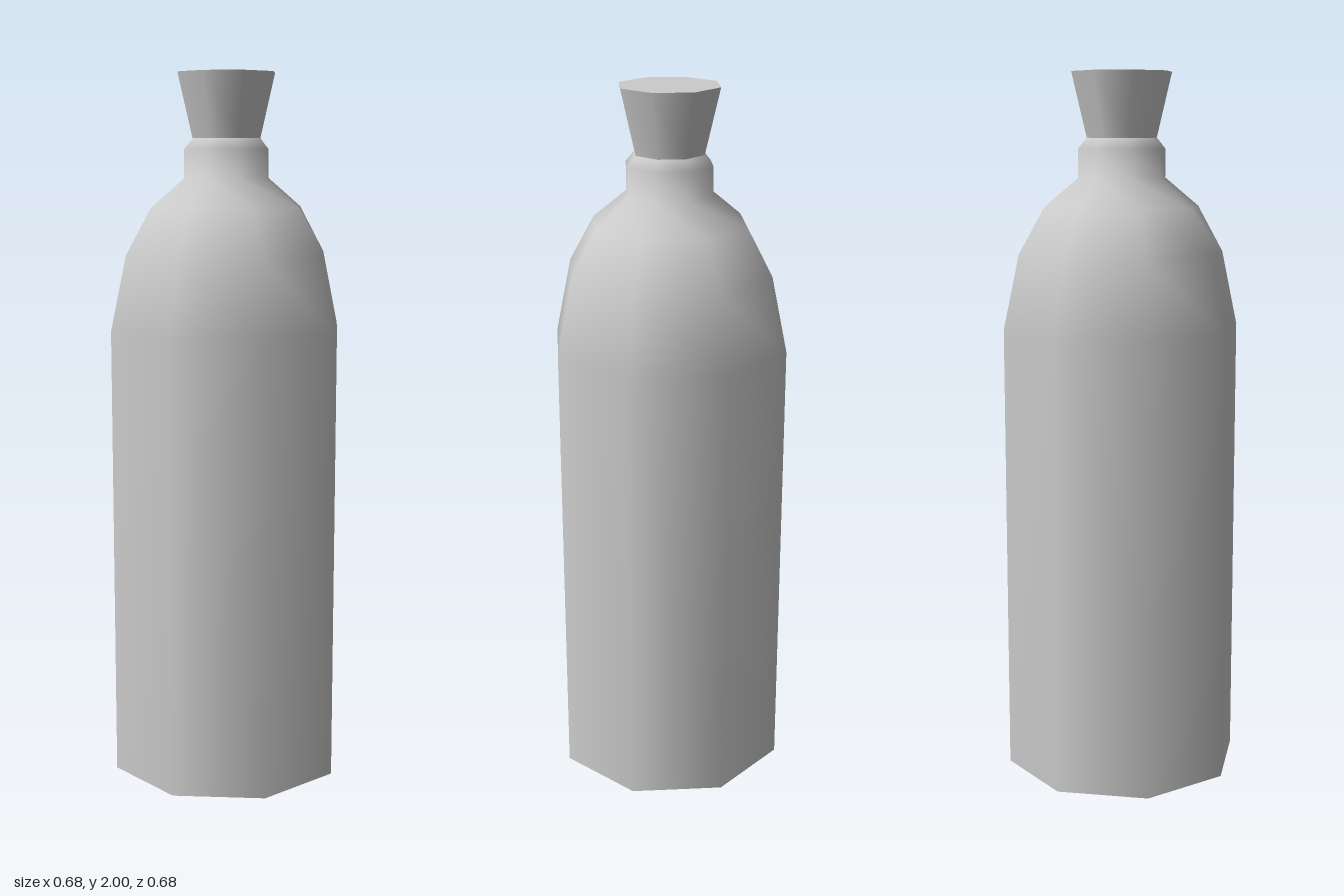
import * as THREE from 'three';

const SIDES = 8;
const material = new THREE.MeshStandardMaterial({ color: 0xcccccc });

// Turns a profile of [radius, height] points into an eight-sided surface.
// Profiles run from the bottom axis outward and up, so faces point outward.
function turned(name, points) {
  const profile = points.map(([r, y]) => new THREE.Vector2(r, y));
  const mesh = new THREE.Mesh(new THREE.LatheGeometry(profile, SIDES), material);
  mesh.name = name;
  return mesh;
}

export function createModel() {
  const model = new THREE.Group();
  model.name = 'corkedBottle';

  // Bottle: separate surfaces keep the base edges sharp
  const bottle = new THREE.Group();
  bottle.name = 'bottle';
  bottle.add(
    turned('baseRecess', [[0, 0.05], [0.29, 0.05]]),
    turned('recessWall', [[0.29, 0.05], [0.29, 0]]),
    turned('footRing', [[0.29, 0], [0.34, 0]]),
    turned('bodyAndNeck', [
      [0.34, 0], [0.34, 1.29], // straight wall
      [0.295, 1.5], [0.222, 1.63], [0.125, 1.71], // rounded shoulder
      [0.125, 1.79], [0.1, 1.82], // neck and bevelled lip
    ]),
  );

  // Tapered stopper
  const stopper = new THREE.Group();
  stopper.name = 'stopper';
  stopper.add(
    turned('stopperBottom', [[0, 1.82], [0.1, 1.82]]),
    turned('stopperSide', [[0.1, 1.82], [0.143, 2]]),
    turned('stopperTop', [[0.143, 2], [0, 2]]),
  );

  model.add(bottle, stopper);
  return model;
}
